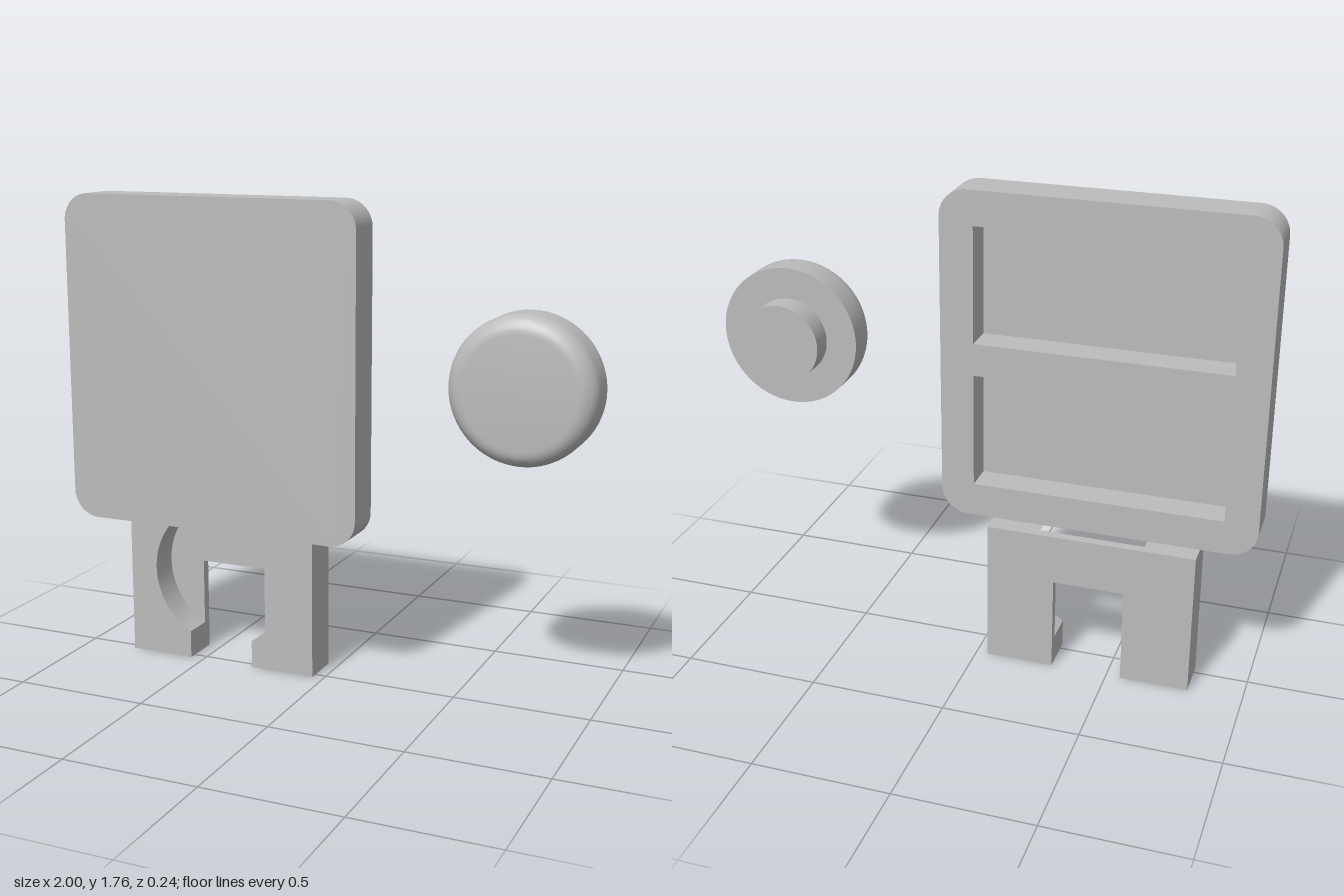
import * as THREE from 'three';
import { toCreasedNormals } from 'three/addons/utils/BufferGeometryUtils.js';

const grey = new THREE.MeshStandardMaterial({ color: 0xbcbcbc });
grey.name = 'light grey';

function part(name, geometry) {
  const mesh = new THREE.Mesh(toCreasedNormals(geometry, 0.6), grey);
  mesh.name = name;
  return mesh;
}

// Extrude one or more flat outlines from z0 to z1
function slab(name, shapes, z0, z1) {
  const g = new THREE.ExtrudeGeometry(shapes, { depth: z1 - z0, bevelEnabled: false, curveSegments: 24 });
  return part(name, g.translate(0, 0, z0));
}

function polygon(points) {
  return new THREE.Shape(points.map(([x, y]) => new THREE.Vector2(x, y)));
}

function roundedRect(x0, y0, x1, y1, r) {
  const s = new THREE.Shape();
  s.absarc(x1 - r, y0 + r, r, -Math.PI / 2, 0);
  s.absarc(x1 - r, y1 - r, r, 0, Math.PI / 2);
  s.absarc(x0 + r, y1 - r, r, Math.PI / 2, Math.PI);
  s.absarc(x0 + r, y0 + r, r, Math.PI, Math.PI * 1.5);
  s.closePath();
  return s;
}

// Rounded plate: solid face with a frame behind it that leaves two pockets
function createPlate() {
  const group = new THREE.Group();
  group.name = 'plate';
  const outline = () => roundedRect(-1, 0.54, 0.157, 1.76, 0.1);
  const frame = outline();
  for (const [y0, y1] of [[0.665, 1.09], [1.21, 1.635]]) {
    frame.holes.push(polygon([[-0.88, y0], [-0.88, y1], [0.035, y1], [0.035, y0]]));
  }
  group.add(slab('plateFace', outline(), 0.067, 0.105));
  group.add(slab('pocketFrame', frame, -0.045, 0.067));
  return group;
}

// Forked bracket with a round recess in its front
function createBracket() {
  const group = new THREE.Group();
  group.name = 'bracket';
  const w = 0.38, n = 0.13, top = 0.54, cy = 0.345, r = 0.273;
  const back = polygon([[-w, 0], [-n, 0], [-n, 0.355], [n, 0.355], [n, 0], [w, 0], [w, top], [-w, top]]);
  group.add(slab('bracketBack', back, -0.12, -0.085));

  const a0 = -Math.acos(n / r), a1 = Math.asin((top - cy) / r);
  for (const side of [-1, 1]) {
    const pts = [[side * w, top], [side * w, 0], [side * n, 0]];
    for (let i = 0; i <= 40; i++) {
      const a = a0 + (a1 - a0) * i / 40;
      pts.push([side * r * Math.cos(a), cy + r * Math.sin(a)]);
    }
    // the top of the arc meets the bracket's top edge
    group.add(slab(side > 0 ? 'leftJaw' : 'rightJaw', polygon(pts), -0.085, 0.03));
  }
  group.position.x = -0.422;
  return group;
}

// Round knob with a softened front rim and a stem behind
function createKnob() {
  const R = 0.259, f = 0.062, front = 0.12;
  const pts = [[0, -0.12], [0.145, -0.12], [0.145, -0.037], [R, -0.037]];
  for (let i = 0; i <= 8; i++) {
    const a = (Math.PI / 2) * i / 8;
    pts.push([R - f + f * Math.cos(a), front - f + f * Math.sin(a)]);
  }
  pts.push([0, front]);
  const g = new THREE.LatheGeometry(pts.map(([x, y]) => new THREE.Vector2(x, y)), 72);
  const knob = part('knob', g.rotateX(Math.PI / 2));
  knob.position.set(0.741, 1.15, 0);
  return knob;
}

export function createModel() {
  const model = new THREE.Group();
  model.name = 'plateBracketAndKnob';
  model.add(createPlate(), createBracket(), createKnob());
  return model;
}
